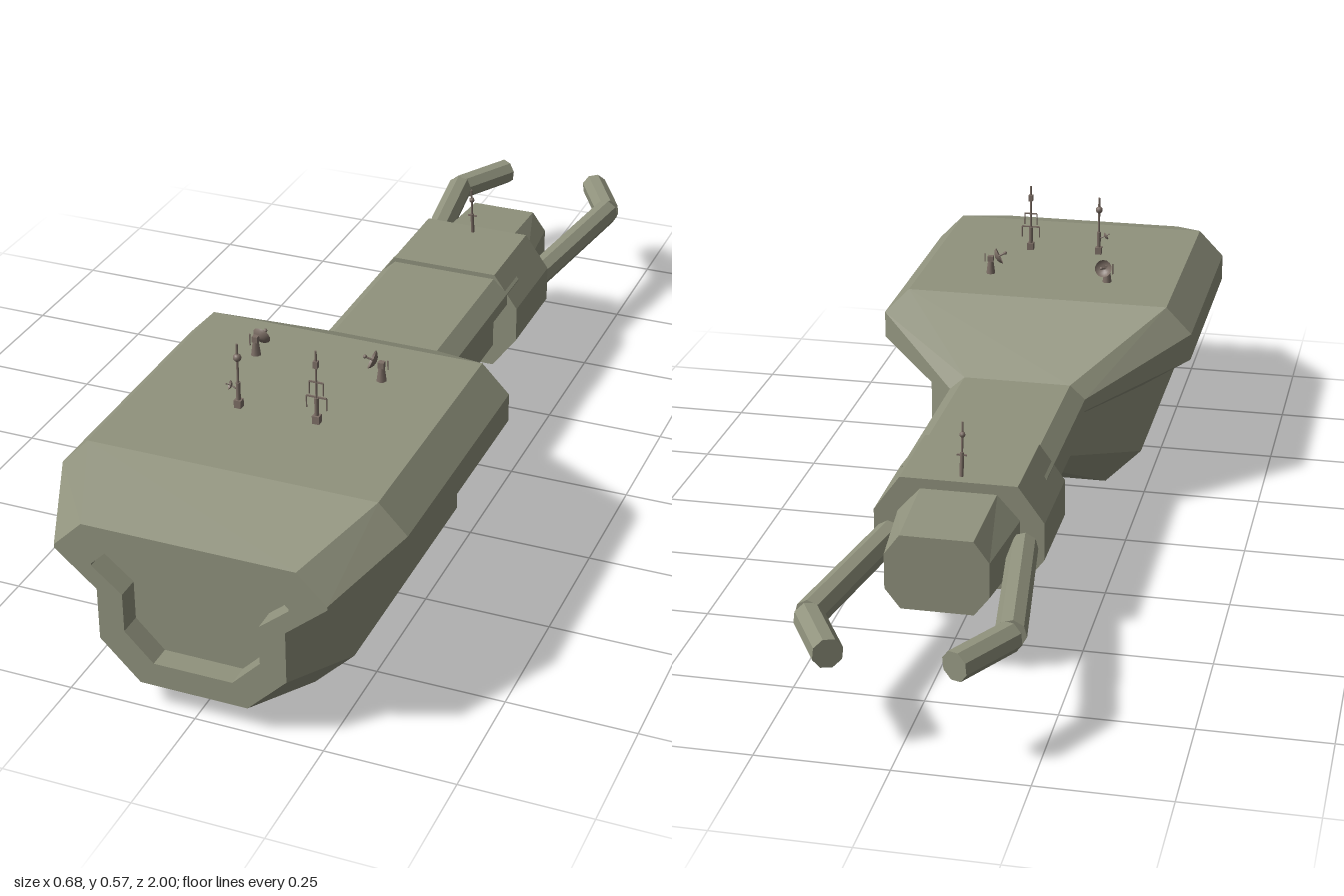
import * as THREE from 'three';

const hullMat = new THREE.MeshStandardMaterial({ color: 0x90927d, flatShading: true });
hullMat.name = 'grey green hull';
const metalMat = new THREE.MeshStandardMaterial({ color: 0x7d6f66, side: THREE.DoubleSide });
metalMat.name = 'brown grey metal';

// Mirrors half outlines (listed top to bottom) into rings and skins them front to back
function loft(sections) {
  const rings = sections.map(({ z, half }) => [
    ...half.map(([x, y]) => [x, y, z]),
    ...half.slice().reverse().map(([x, y]) => [-x, y, z]),
  ]);
  const pos = [];
  const tri = (a, b, c) => pos.push(...a, ...b, ...c);
  const n = rings[0].length;
  for (let s = 0; s < rings.length - 1; s++) {
    const a = rings[s], b = rings[s + 1];
    for (let i = 0; i < n; i++) {
      const j = (i + 1) % n;
      tri(a[i], a[j], b[i]);
      tri(a[j], b[j], b[i]);
    }
  }
  const cap = (ring, front) => {
    const r = ring.slice().reverse();
    const faces = THREE.ShapeUtils.triangulateShape(r.map((p) => new THREE.Vector2(p[0], p[1])), []);
    for (const [a, b, c] of faces) front ? tri(r[a], r[b], r[c]) : tri(r[a], r[c], r[b]);
  };
  cap(rings[0], true);
  cap(rings[rings.length - 1], false);
  const g = new THREE.BufferGeometry();
  g.setAttribute('position', new THREE.Float32BufferAttribute(pos, 3));
  g.computeVertexNormals();
  return g;
}

function add(parent, name, geometry, material, x = 0, y = 0, z = 0) {
  const m = new THREE.Mesh(geometry, material);
  m.name = name;
  m.position.set(x, y, z);
  parent.add(m);
  return m;
}

// Straight rod between two points
function rod(parent, name, from, to, r, material = metalMat, sides = 8, r2 = r) {
  const a = new THREE.Vector3(...from), b = new THREE.Vector3(...to);
  const m = add(parent, name, new THREE.CylinderGeometry(r2, r, a.distanceTo(b), sides), material);
  m.position.copy(a).lerp(b, 0.5);
  m.quaternion.setFromUnitVectors(new THREE.Vector3(0, 1, 0), b.sub(a).normalize());
  return m;
}

function group(parent, name, x, y, z) {
  const g = new THREE.Group();
  g.name = name;
  g.position.set(x, y, z);
  parent.add(g);
  return g;
}

// Shallow bowl with a feed spike, opening along dir
function dish(parent, centre, dir, r) {
  const g = group(parent, 'dish', ...centre);
  const pts = [[0, -0.4], [0.5, -0.28], [0.85, -0.05], [1, 0.15]].map(([x, y]) => new THREE.Vector2(x * r, y * r));
  add(g, 'dishBowl', new THREE.LatheGeometry(pts, 14), metalMat);
  rod(g, 'dishFeed', [0, -0.4 * r, 0], [0, 0.9 * r, 0], r * 0.1);
  add(g, 'feedTip', new THREE.SphereGeometry(r * 0.2, 8, 6), metalMat, 0, 0.9 * r, 0);
  g.quaternion.setFromUnitVectors(new THREE.Vector3(0, 1, 0), new THREE.Vector3(...dir).normalize());
}

function mastBase(g) {
  add(g, 'mastFoot', new THREE.BoxGeometry(0.014, 0.016, 0.014), metalMat, 0, 0.008, 0);
  rod(g, 'lowerPole', [0, 0, 0], [0, 0.052, 0], 0.0045);
}

function dishPedestal(g) {
  rod(g, 'pedestal', [0, 0, 0], [0, 0.03, 0], 0.01, metalMat, 8, 0.006);
  add(g, 'pedestalHead', new THREE.BoxGeometry(0.012, 0.012, 0.012), metalMat, 0, 0.034, 0);
}

export function createModel() {
  const model = new THREE.Group();
  model.name = 'spacecraft';

  // Hull with recessed front bay, tapering into the neck
  const bay = [[0.148, 0.328], [0.19, 0.287], [0.19, 0.283], [0.132, 0.235], [0.132, 0.157], [0.077, 0.101]];
  const nose = [[0.205, 0.366], [0.262, 0.31], [0.262, 0.303], [0.182, 0.235], [0.182, 0.13], [0.105, 0.053]];
  const wide = [[0.283, 0.418], [0.338, 0.361], [0.338, 0.303], [0.235, 0.235], [0.235, 0.08], [0.157, 0.001]];
  const neck = [[0.113, 0.305], [0.145, 0.276], [0.145, 0.25], [0.115, 0.23], [0.115, 0.145], [0.078, 0.108]];
  add(model, 'hull', loft([
    { z: 0.955, half: bay }, { z: 1, half: bay }, { z: 1, half: nose },
    { z: 0.82, half: wide }, { z: 0.29, half: wide },
    { z: 0.085, half: neck }, { z: -0.33, half: neck },
  ]), hullMat);

  // Octagonal collar and tapered rear head
  const collar = [[0.115, 0.315], [0.167, 0.243], [0.167, 0.167], [0.115, 0.097]];
  add(model, 'collar', loft([{ z: -0.255, half: collar }, { z: -0.463, half: collar }]), hullMat);
  const headA = [[0.075, 0.295], [0.12, 0.245], [0.12, 0.165], [0.075, 0.118]];
  const headB = [[0.07, 0.281], [0.1, 0.24], [0.1, 0.17], [0.07, 0.131]];
  add(model, 'rearHead', loft([{ z: -0.46, half: headA }, { z: -0.645, half: headB }]), hullMat);

  // Pair of bent grasping arms
  for (const s of [1, -1]) {
    const arm = group(model, s > 0 ? 'leftArm' : 'rightArm', 0, 0, 0);
    rod(arm, 'upperArm', [s * 0.13, 0.203, -0.485], [s * 0.183, 0.21, -0.852], 0.029, hullMat, 8);
    rod(arm, 'forearm', [s * 0.183, 0.209, -0.856], [s * 0.112, 0.209, -0.983], 0.029, hullMat, 8);
  }

  // Ball-topped mast
  const ballMast = group(model, 'ballMast', -0.08, 0.418, 0.61);
  mastBase(ballMast);
  rod(ballMast, 'upperPole', [0, 0.05, 0], [0, 0.132, 0], 0.0025);
  add(ballMast, 'ball', new THREE.SphereGeometry(0.008, 12, 8), metalMat, 0, 0.104, 0);
  rod(ballMast, 'dishArm', [0, 0.036, 0], [-0.014, 0.043, 0], 0.0015);
  dish(ballMast, [-0.016, 0.043, 0], [-1, 0.5, 0.6], 0.009);

  // Forked mast with crossbars
  const forkMast = group(model, 'forkMast', 0.077, 0.418, 0.61);
  mastBase(forkMast);
  rod(forkMast, 'upperPole', [0, 0.05, 0], [0, 0.15, 0], 0.0022);
  add(forkMast, 'mastBox', new THREE.BoxGeometry(0.009, 0.014, 0.009), metalMat, 0, 0.122, 0);
  for (const [y, w, drop] of [[0.054, 0.02, 0.025], [0.085, 0.014, 0.026]]) {
    add(forkMast, 'crossbar', new THREE.BoxGeometry(2 * w, 0.003, 0.003), metalMat, 0, y, 0);
    for (const s of [1, -1]) rod(forkMast, 'prong', [s * w, y, 0], [s * w, y - drop, 0], 0.0014);
  }

  // Two pedestal dishes
  const rightDish = group(model, 'rightDish', -0.132, 0.42, 0.42);
  dishPedestal(rightDish);
  dish(rightDish, [0.006, 0.034, -0.012], [0.15, 0.35, -1], 0.019);
  rod(rightDish, 'whip', [-0.012, 0.018, 0], [-0.012, 0.042, 0], 0.0015);
  const leftDish = group(model, 'leftDish', 0.13, 0.42, 0.425);
  dishPedestal(leftDish);
  dish(leftDish, [-0.017, 0.04, 0], [-1, 0.5, 0.3], 0.019);
  rod(leftDish, 'whip', [0.013, 0.026, 0], [0.013, 0.045, 0], 0.0015);

  // Small leaning mast on the collar
  const tailMast = group(model, 'tailMast', 0, 0.312, -0.436);
  rod(tailMast, 'tailFoot', [0, 0, 0], [0, 0.05, 0.006], 0.004);
  rod(tailMast, 'tailPole', [0, 0.04, 0.005], [0, 0.11, 0.013], 0.0022);
  add(tailMast, 'tailBall', new THREE.SphereGeometry(0.006, 8, 6), metalMat, 0, 0.085, 0.01);
  add(tailMast, 'tailBar', new THREE.BoxGeometry(0.02, 0.003, 0.003), metalMat, 0, 0.045, 0.005);

  return model;
}
